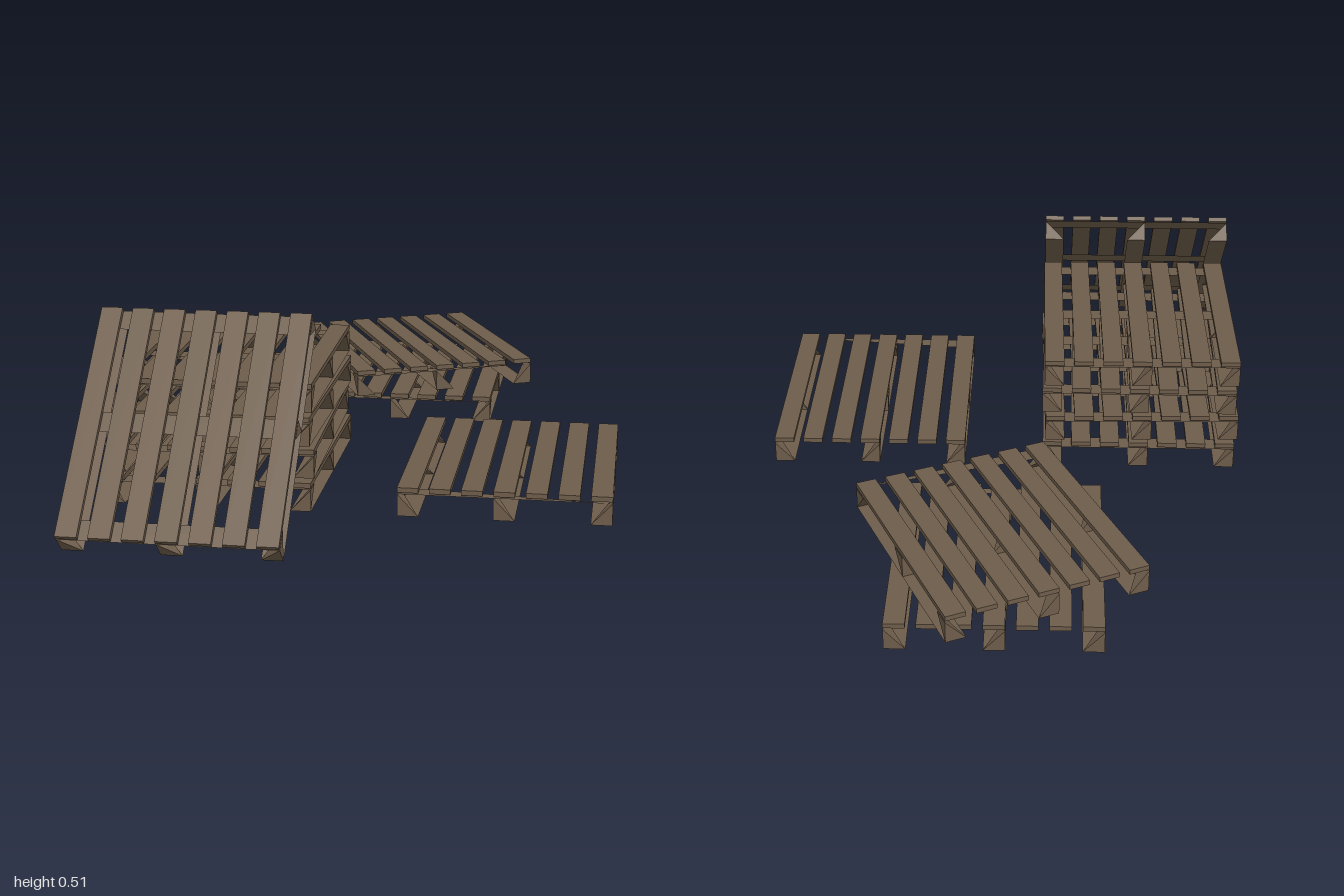
import * as THREE from 'three';

const HALF_X = 0.27, HALF_Z = 0.32, BOARD = 0.054;
const DECK_Y = 0.065, THICK = 0.013, RAIL_Y = 0.061, FOOT_TOP = 0.061, FOOT_BOTTOM = 0.003;

// Wedge-shaped foot: full height on its outer edge, tapering inwards
function footGeometry(sx, sz) {
  const h = BOARD / 2;
  const T = [sx * h, FOOT_TOP, sz * h], B = [sx * h, FOOT_BOTTOM, sz * h];
  const C = [-sx * h, FOOT_BOTTOM, sz * h], D = [sx * h, FOOT_TOP, -sz * h];
  const faces = [[T, B, C], [T, D, B], [T, C, D], [B, D, C]];
  const flip = sx * sz < 0;
  const points = faces.flatMap(([a, b, c]) => (flip ? [a, c, b] : [a, b, c])).flat();
  const geometry = new THREE.BufferGeometry();
  geometry.setAttribute('position', new THREE.Float32BufferAttribute(points, 3));
  geometry.computeVertexNormals();
  return geometry;
}

// Flat horizontal board outline given in x, z
function flatShape(points) {
  const shape = new THREE.Shape(points.map(([x, z]) => new THREE.Vector2(x, -z)));
  return new THREE.ShapeGeometry(shape).rotateX(-Math.PI / 2);
}

function createPallet(wood, fullRails) {
  const pallet = new THREE.Group();
  const add = (name, geometry, x, y, z) => {
    const mesh = new THREE.Mesh(geometry, wood);
    mesh.name = name;
    mesh.position.set(x, y, z);
    pallet.add(mesh);
  };
  const ex = HALF_X - BOARD / 2, ez = HALF_Z - BOARD / 2;

  // Seven deck slats
  const slat = new THREE.BoxGeometry(BOARD, THICK, HALF_Z * 2);
  for (let i = 0; i < 7; i++) add('deckSlat', slat, -ex + (i * ex) / 3, DECK_Y + THICK / 2, 0);

  // Cross rails under the deck
  if (fullRails) {
    const rail = new THREE.PlaneGeometry(HALF_X * 2, BOARD).rotateX(-Math.PI / 2);
    for (const z of [-ez, 0, ez]) add('crossRail', rail, 0, RAIL_Y, z);
  } else {
    const rail = flatShape([[-HALF_X, HALF_Z - BOARD], [-HALF_X, HALF_Z], [HALF_X, HALF_Z]]);
    add('crossRail', rail, 0, RAIL_Y, 0);
  }

  // Feet and bottom skids
  const skid = new THREE.PlaneGeometry(BOARD, HALF_Z * 2).rotateX(-Math.PI / 2);
  for (const i of [-1, 0, 1]) {
    add('bottomSkid', skid, i * ex, FOOT_BOTTOM, 0);
    for (const k of [-1, 0, 1]) add('foot', footGeometry(i || -1, k || -1), i * ex, 0, k * ez);
  }
  return pallet;
}

export function createModel() {
  const model = new THREE.Group();
  model.name = 'pallets';
  const wood = new THREE.MeshStandardMaterial({ color: 0x6e5d4b, side: THREE.DoubleSide });
  wood.name = 'weathered wood';

  const place = (name, fullRails, x, y, z, turn = 0, tilt = 0) => {
    const pallet = createPallet(wood, fullRails);
    pallet.name = name;
    pallet.position.set(x, y, z);
    pallet.rotation.set(tilt, turn, 0);
    model.add(pallet);
  };

  // Stack of four, slightly misaligned
  [0, 0.025, -0.005, 0.012].forEach((turn, i) => place('stackedPallet', true, -0.38, i * 0.0865, 0.27, turn));
  // Pallet leaning on the stack
  place('leaningPallet', true, -0.38, 0.228, 0.718, 0, Math.PI / 4);
  // Loose pallet on the ground
  place('loosePallet', false, 0.38, 0, 0.27);
  // Crossed pair
  place('lowerCrossedPallet', false, 0, 0, -0.595);
  place('upperCrossedPallet', false, 0, 0.0865, -0.597, 0.43);
  return model;
}
